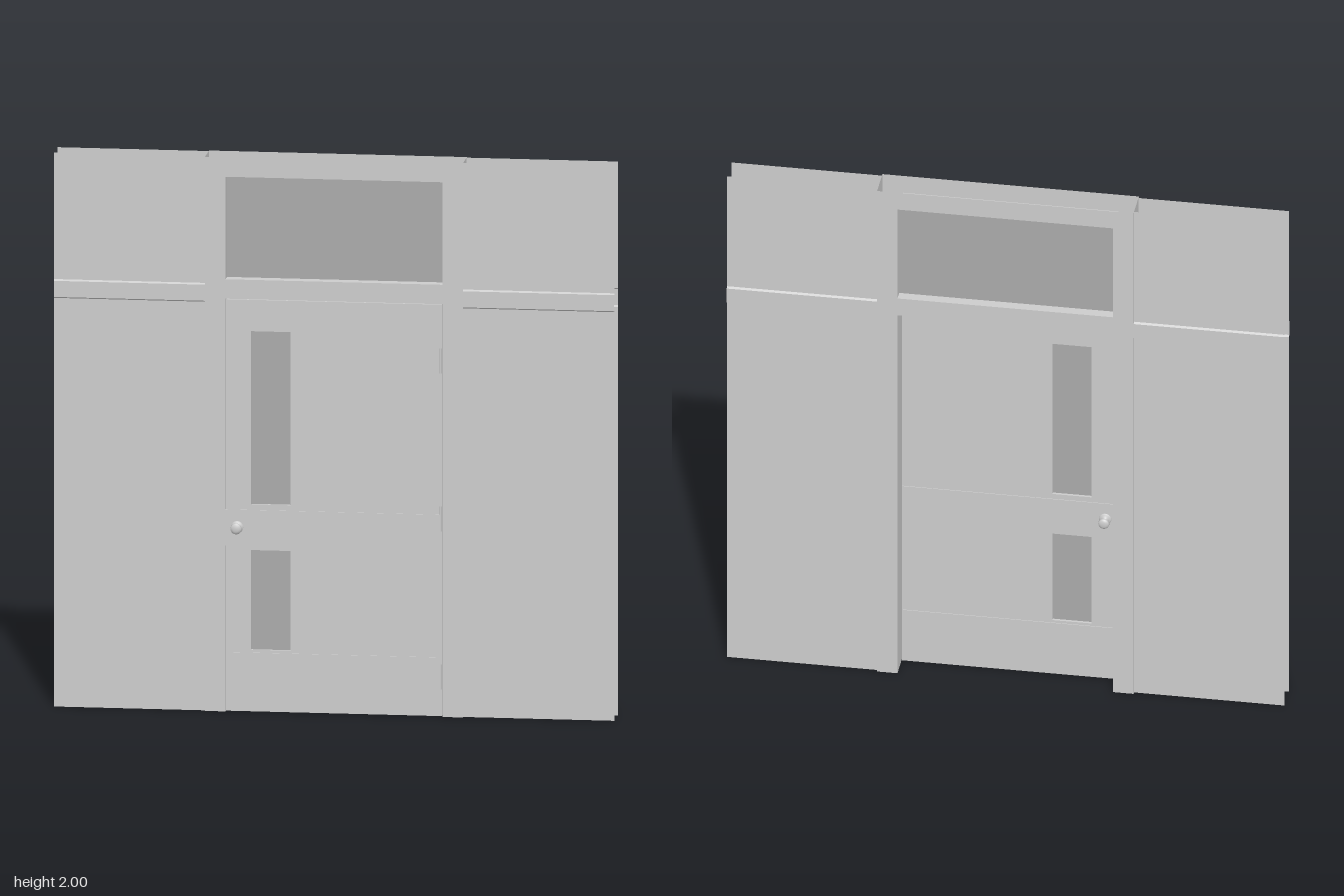
import * as THREE from 'three';

const FRONT = 0.035, BACK = -0.08;          // faces of the hollow frame
const HALF = 0.46, OPEN = 0.387;            // frame half width, opening half width
const DOOR_TOP = 1.49, DOOR_BACK = 0.004;
const TRANSOM = [1.56, 1.93];
const LITES = [[0.225, 0.585], [0.75, 1.375]];
const LITE_X = [-0.295, -0.155];

const grey = new THREE.MeshStandardMaterial({ color: 0xcccccc });
const sheet = new THREE.MeshStandardMaterial({ color: 0xcccccc, side: THREE.DoubleSide });
const glass = new THREE.MeshStandardMaterial({ color: 0xaaaaaa });

function add(parent, name, geometry, material = grey) {
  const mesh = new THREE.Mesh(geometry, material);
  mesh.name = name;
  parent.add(mesh);
  return mesh;
}

function group(parent, name) {
  const g = new THREE.Group();
  g.name = name;
  parent.add(g);
  return g;
}

// Box given by its limits
function box(parent, name, x0, x1, y0, y1, z0, z1, material) {
  const mesh = add(parent, name, new THREE.BoxGeometry(x1 - x0, y1 - y0, z1 - z0), material);
  mesh.position.set((x0 + x1) / 2, (y0 + y1) / 2, (z0 + z1) / 2);
  return mesh;
}

function rect(Type, x0, x1, y0, y1) {
  return new Type([[x0, y0], [x1, y0], [x1, y1], [x0, y1]].map(p => new THREE.Vector2(...p)));
}

// Open sheet swept along z or x from a polyline of [a, y] points
function strip(points, from, to, along) {
  const pos = [];
  const at = ([a, y], t) => (along === 'z' ? [a, y, t] : [t, y, a]);
  for (let i = 0; i + 1 < points.length; i++) {
    const [p, q] = [points[i], points[i + 1]];
    pos.push(...at(p, from), ...at(p, to), ...at(q, to), ...at(p, from), ...at(q, to), ...at(q, from));
  }
  const g = new THREE.BufferGeometry();
  g.setAttribute('position', new THREE.Float32BufferAttribute(pos, 3));
  g.computeVertexNormals();
  return g;
}

export function createModel() {
  const model = new THREE.Group();
  model.name = 'doorway';

  // Hollow frame: pierced front and back faces, open at top and foot
  const frame = group(model, 'frame');
  const outline = new THREE.Shape([
    [-HALF, 0], [-OPEN, 0], [-OPEN, DOOR_TOP], [OPEN, DOOR_TOP],
    [OPEN, 0], [HALF, 0], [HALF, 2], [-HALF, 2],
  ].map(p => new THREE.Vector2(...p)));
  outline.holes.push(rect(THREE.Path, -OPEN, OPEN, ...TRANSOM));
  add(frame, 'frameFront', new THREE.ShapeGeometry(outline), sheet).position.z = FRONT;
  const rear = add(frame, 'frameBack', new THREE.ShapeGeometry(outline), sheet);
  rear.position.z = BACK;
  rear.rotation.y = Math.PI;
  for (const s of [-1, 1]) {
    add(frame, 'frameSide', strip([[s * HALF, 0], [s * HALF, 2]], FRONT, BACK, 'z'), sheet);
  }
  add(frame, 'doorReveal', strip(
    [[-OPEN, 0], [-OPEN, DOOR_TOP], [OPEN, DOOR_TOP], [OPEN, 0]], FRONT, BACK, 'z'), sheet);
  const [t0, t1] = TRANSOM;
  add(frame, 'transomReveal', strip(
    [[-OPEN, t0], [-OPEN, t1], [OPEN, t1], [OPEN, t0], [-OPEN, t0]], FRONT, BACK, 'z'), sheet);
  box(frame, 'transomGlass', -0.402, 0.402, t0 - 0.015, t1 + 0.015, -0.042, -0.008, glass);

  // Thin wall sheets with a raised rail, front and back, either side of the frame
  for (const [z, out] of [[0.025, 0.008], [-0.07, -0.008]]) {
    const profile = [[z, 0], [z, 1.475], [z + out, 1.48], [z + out, 1.538], [z, 1.543], [z, 2]];
    for (const s of [-1, 1]) {
      add(model, 'wallSheet', strip(profile, s * HALF, s, 'x'), sheet);
    }
  }

  // Door leaf with two narrow lites
  const door = group(model, 'door');
  const leaf = rect(THREE.Shape, -OPEN + 0.002, OPEN - 0.002, 0.003, DOOR_TOP - 0.002);
  for (const lite of LITES) leaf.holes.push(rect(THREE.Path, ...LITE_X, ...lite));
  add(door, 'doorLeaf', new THREE.ExtrudeGeometry(leaf, {
    depth: FRONT - DOOR_BACK, bevelEnabled: false,
  })).position.z = DOOR_BACK;
  for (const [y0, y1] of LITES) {
    box(door, 'liteGlass', ...LITE_X, y0, y1, 0.014, 0.025, glass);
  }

  // Lock rail plates and kick plates on both faces
  for (const [z0, z1] of [[FRONT, FRONT + 0.003], [DOOR_BACK - 0.003, DOOR_BACK]]) {
    box(door, 'lockPlate', -OPEN, 0.382, 0.6, 0.73, z0, z1);
    box(door, 'kickPlate', -0.384, 0.38, 0.008, 0.215, z0, z1);
  }

  // Knobs turned from one profile: rose, neck and grip
  const knob = new THREE.LatheGeometry([
    [0.022, 0], [0.022, 0.003], [0.018, 0.006], [0.008, 0.009], [0.007, 0.02],
    [0.015, 0.026], [0.02, 0.032], [0.018, 0.038], [0.01, 0.042], [0, 0.042],
  ].map(p => new THREE.Vector2(...p)), 24);
  for (const [z, s] of [[FRONT + 0.003, 1], [DOOR_BACK - 0.003, -1]]) {
    const k = add(door, 'knob', knob);
    k.position.set(-0.345, 0.667, z);
    k.rotation.x = s * Math.PI / 2;
  }

  // Hinge knuckles
  for (const y of [0.145, 0.715, 1.285]) {
    add(door, 'hinge', new THREE.CylinderGeometry(0.004, 0.004, 0.09, 12)).position.set(0.381, y, FRONT);
  }

  return model;
}
